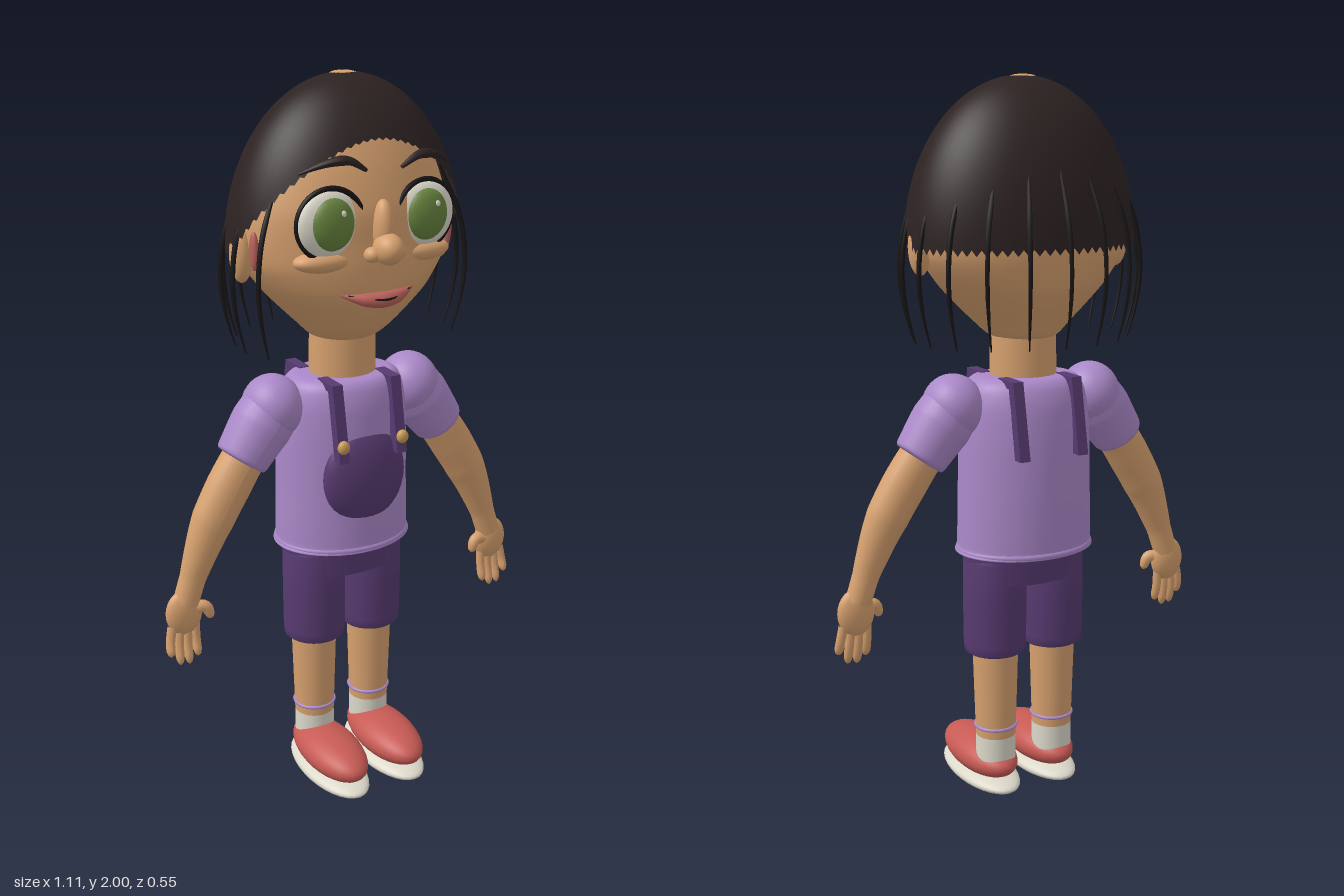
import * as THREE from 'three';

const mat = (name, color, side = THREE.FrontSide) => {
  const m = new THREE.MeshStandardMaterial({ color, side });
  m.name = name;
  return m;
};

export function createModel() {
  const skin = mat('skin', 0xd6a06e), hairMat = mat('hair', 0x2d2222, THREE.DoubleSide);
  const lilac = mat('lilac', 0xaa88c8), purple = mat('purple', 0x573a70);
  const red = mat('red', 0xc75a54), white = mat('offWhite', 0xdcd8ca);
  const green = mat('green', 0x66823e), black = mat('black', 0x171314);
  const gold = mat('gold', 0xc79a55), lip = mat('lip', 0xb9625a);
  const root = new THREE.Group();
  root.name = 'character';

  const add = (name, geo, m, x = 0, y = 0, z = 0, parent = root) => {
    const mesh = new THREE.Mesh(geo, m);
    mesh.name = name;
    mesh.position.set(x, y, z);
    parent.add(mesh);
    return mesh;
  };
  const ball = (name, m, x, y, z, rx, ry = rx, rz = rx) =>
    add(name, new THREE.SphereGeometry(1, 32, 20).scale(rx, ry, rz), m, x, y, z);
  const V = (p) => new THREE.Vector3(...p);

  // smooth stack of elliptical rings, rows from bottom to top: [y, rx, rz, centreZ]
  const loft = (rows, steps = 60, n = 48) => {
    const a = new THREE.CatmullRomCurve3(rows.map((r) => V([r[0], r[1], r[2]])), false, 'catmullrom', 0.4);
    const b = new THREE.CatmullRomCurve3(rows.map((r) => V([r[3], 0, 0])), false, 'catmullrom', 0.4);
    const pos = [], idx = [];
    for (let i = 0; i <= steps; i++) {
      const p = a.getPoint(i / steps), cz = b.getPoint(i / steps).x;
      for (let j = 0; j < n; j++) {
        const t = (j / n) * Math.PI * 2, k = i * n + j, k1 = i * n + ((j + 1) % n);
        pos.push(Math.sin(t) * p.y, p.x, cz + Math.cos(t) * p.z);
        if (i < steps) idx.push(k, k1, k + n, k1, k1 + n, k + n);
      }
    }
    const g = new THREE.BufferGeometry();
    g.setAttribute('position', new THREE.Float32BufferAttribute(pos, 3));
    g.setIndex(idx);
    g.computeVertexNormals();
    return g;
  };

  // tube along points whose radius follows [t, r] stops
  const taper = (points, stops, seg = 24, n = 16, flat = 1) => {
    const curve = new THREE.CatmullRomCurve3(points.map(V));
    const g = new THREE.TubeGeometry(curve, seg, 1, n), p = g.attributes.position;
    for (let k = 0; k < p.count; k++) {
      const t = Math.floor(k / (n + 1)) / seg, c = curve.getPointAt(t);
      let s = 0;
      while (s < stops.length - 2 && t > stops[s + 1][0]) s++;
      const [t0, r0] = stops[s], [t1, r1] = stops[s + 1];
      const r = r0 + (r1 - r0) * Math.min(1, (t - t0) / (t1 - t0));
      p.setXYZ(k, c.x + (p.getX(k) - c.x) * r, c.y + (p.getY(k) - c.y) * r, c.z + (p.getZ(k) - c.z) * r * flat);
    }
    g.computeVertexNormals();
    return g;
  };

  // head and neck
  add('head', loft([
    [1.315, 0.01, 0.01, -0.01], [1.318, 0.085, 0.085, -0.01], [1.36, 0.135, 0.13, 0], [1.45, 0.225, 0.19, 0],
    [1.53, 0.283, 0.206, -0.005], [1.6, 0.296, 0.208, -0.008], [1.68, 0.287, 0.204, -0.006],
    [1.78, 0.25, 0.175, -0.002], [1.87, 0.194, 0.138, 0], [1.94, 0.13, 0.09, 0], [1.985, 0.06, 0.04, 0],
    [1.998, 0.026, 0.017, -0.01], [2, 0.001, 0.001, -0.01]]), skin);
  add('neck', new THREE.CylinderGeometry(0.09, 0.094, 0.2, 32), skin, 0, 1.28, -0.01).scale.z = 0.92;

  // hair cap: ellipsoid whose lower edge rises toward the forehead
  const cap = new THREE.SphereGeometry(1, 72, 40), cp = cap.attributes.position, cu = cap.attributes.uv;
  for (let k = 0; k < cp.count; k++) {
    const a = cu.getX(k) * Math.PI * 2, v = 1 - cu.getY(k);
    const edge = 1.55 + 0.3 * Math.max(0, Math.cos(a));
    const end = Math.acos((edge - 1.57) / 0.428), phi = 0.08 + (end - 0.08) * v;
    cp.setXYZ(k, Math.sin(a) * Math.sin(phi) * 0.325, 1.57 + 0.428 * Math.cos(phi), Math.cos(a) * Math.sin(phi) * 0.235);
  }
  cap.computeVertexNormals();
  add('hairCap', cap, hairMat);

  // loose strands round the back and sides
  for (let i = -6; i <= 6; i++) {
    const t = i * 0.335, s = Math.sin(t), c = -Math.cos(t);
    const at = (y, f) => [s * 0.337 * f, y, c * 0.27 * f];
    add('hairStrand', taper([at(1.76, 0.77), at(1.62, 0.95), at(1.5, 1), at(1.4, 0.97), at(1.31, 0.9)],
      [[0, 0.003], [0.25, 0.007], [0.7, 0.006], [1, 0.002]], 20, 6), black);
  }

  // nose and mouth
  ball('noseBridge', skin, 0, 1.635, 0.2, 0.028, 0.075, 0.035);
  ball('noseTip', skin, 0, 1.59, 0.228, 0.038, 0.04, 0.047);
  add('lips', taper([[-0.108, 1.472, 0.172], [-0.05, 1.459, 0.196], [0, 1.456, 0.206], [0.05, 1.459, 0.196], [0.108, 1.472, 0.172]],
    [[0, 0.002], [0.3, 0.018], [0.5, 0.021], [0.7, 0.018], [1, 0.002]], 32), lip);
  add('mouthLine', taper([[-0.09, 1.471, 0.186], [0, 1.46, 0.225], [0.09, 1.471, 0.186]],
    [[0, 0.002], [0.5, 0.0035], [1, 0.002]], 24, 8), black);

  // rounded shirt body with hem
  add('shirt', loft([
    [0.722, 0.01, 0.01, -0.015], [0.724, 0.188, 0.15, -0.015], [0.75, 0.193, 0.157, -0.016], [0.9, 0.19, 0.157, -0.017],
    [1.05, 0.187, 0.154, -0.016], [1.14, 0.18, 0.147, -0.014], [1.19, 0.165, 0.132, -0.012],
    [1.212, 0.135, 0.108, -0.01], [1.214, 0.05, 0.05, -0.01]]), lilac);
  add('shirtHem', new THREE.TorusGeometry(0.188, 0.009, 10, 48).rotateX(Math.PI / 2).scale(1, 1, 0.82), lilac, 0, 0.735, -0.016);
  ball('bib', purple, 0, 0.945, 0.112, 0.123, 0.138, 0.052);
  add('shortsWaist', new THREE.CylinderGeometry(0.18, 0.175, 0.09, 40).scale(1, 1, 0.6), purple, 0, 0.685, -0.012);

  // strap profile seen from the side
  const strapShape = new THREE.Shape([[0.04, 1.195], [0.04, 1.216], [0.125, 1.216], [0.166, 1.01], [0.135, 1.01], [0.1, 1.195]]
    .map((p) => new THREE.Vector2(...p)));
  const strapGeo = new THREE.ExtrudeGeometry(strapShape, { depth: 0.03, bevelEnabled: false })
    .translate(0, 0, -0.015).rotateY(-Math.PI / 2);

  for (const s of [1, -1]) {
    // eye
    ball('eyeWhite', white, s * 0.135, 1.655, 0.168, 0.089, 0.086, 0.034);
    ball('iris', green, s * 0.135, 1.657, 0.186, 0.06, 0.066, 0.03);
    ball('eyeGlint', white, s * 0.135 + 0.018, 1.685, 0.208, 0.009, 0.009, 0.006);
    add('eyeRim', new THREE.TorusGeometry(0.089, 0.007, 8, 48), black, s * 0.135, 1.655, 0.176).rotation.y = s * 0.12;
    ball('lowerLid', skin, s * 0.135, 1.56, 0.15, 0.09, 0.03, 0.045);
    ball('nostril', skin, s * 0.036, 1.576, 0.212, 0.022, 0.02, 0.024);
    add('eyebrow', taper([[s * 0.05, 1.785, 0.203], [s * 0.1, 1.812, 0.204], [s * 0.15, 1.808, 0.192], [s * 0.215, 1.782, 0.16]],
      [[0, 0.005], [0.4, 0.013], [1, 0.003]], 20, 10), hairMat);
    // ear
    ball('ear', skin, s * 0.297, 1.565, 0, 0.03, 0.075, 0.034);
    ball('innerEar', lip, s * 0.285, 1.58, 0.052, 0.012, 0.05, 0.016);

    // straps and button
    add('frontStrap', strapGeo, purple, s * 0.088, 0, 0);
    add('backStrap', strapGeo, purple, s * 0.088, 0, -0.022).rotation.y = Math.PI;
    ball('button', gold, s * 0.09, 1.055, 0.162, 0.017, 0.019, 0.014);

    // sleeve and arm
    ball('shoulder', lilac, s * 0.212, 1.14, -0.01, 0.083, 0.088, 0.09);
    add('sleeve', taper([[s * 0.2, 1.155, -0.01], [s * 0.255, 1.085, -0.008], [s * 0.315, 1.002, -0.005]],
      [[0, 0.08], [0.4, 0.085], [0.93, 0.074], [0.97, 0.07], [1, 0.03]], 34, 28), lilac);
    add('arm', taper([[s * 0.27, 1.06, -0.005], [s * 0.34, 0.96, 0], [s * 0.408, 0.845, 0.004], [s * 0.455, 0.735, 0.006], [s * 0.492, 0.63, 0.006]],
      [[0, 0.06], [0.3, 0.062], [0.5, 0.059], [0.85, 0.037], [1, 0.036]], 32, 24, 0.88), skin);
    // hand
    ball('palm', skin, s * 0.498, 0.603, 0.007, 0.052, 0.066, 0.028);
    for (let i = 0; i < 4; i++) {
      const x = 0.468 + i * 0.022, len = [0.1, 0.118, 0.115, 0.085][i];
      add('finger', taper([[s * x, 0.57, 0.008], [s * (x + i * 0.003), 0.57 - len * 0.55, 0.012], [s * (x + i * 0.004), 0.57 - len, 0.024]],
        [[0, 0.013], [0.8, 0.0125], [0.93, 0.009], [1, 0.001]], 16, 12), skin);
    }
    add('thumb', taper([[s * 0.475, 0.61, 0.01], [s * 0.44, 0.612, 0.018], [s * 0.424, 0.575, 0.022]],
      [[0, 0.02], [0.7, 0.015], [0.92, 0.011], [1, 0.001]], 16, 12), skin);

    // shorts leg
    const legProfile = [[0.001, 0.43], [0.078, 0.43], [0.086, 0.437], [0.088, 0.46], [0.089, 0.58], [0.088, 0.7], [0.07, 0.73]];
    add('shortsLeg', new THREE.LatheGeometry(legProfile.map((p) => new THREE.Vector2(...p)), 36), purple, s * 0.091, 0, -0.012);
    // leg, sock and shoe
    add('leg', new THREE.CylinderGeometry(0.065, 0.055, 0.34, 32), skin, s * 0.091, 0.28, -0.015);
    add('sock', new THREE.CylinderGeometry(0.057, 0.057, 0.09, 32), white, s * 0.091, 0.137, -0.015);
    add('sockBand', new THREE.TorusGeometry(0.058, 0.005, 8, 36).rotateX(Math.PI / 2), lilac, s * 0.091, 0.206, -0.015);
    ball('shoe', red, s * 0.092, 0.088, 0.082, 0.083, 0.056, 0.172);
    ball('sole', white, s * 0.092, 0.03, 0.078, 0.085, 0.03, 0.184);
  }
  return root;
}
